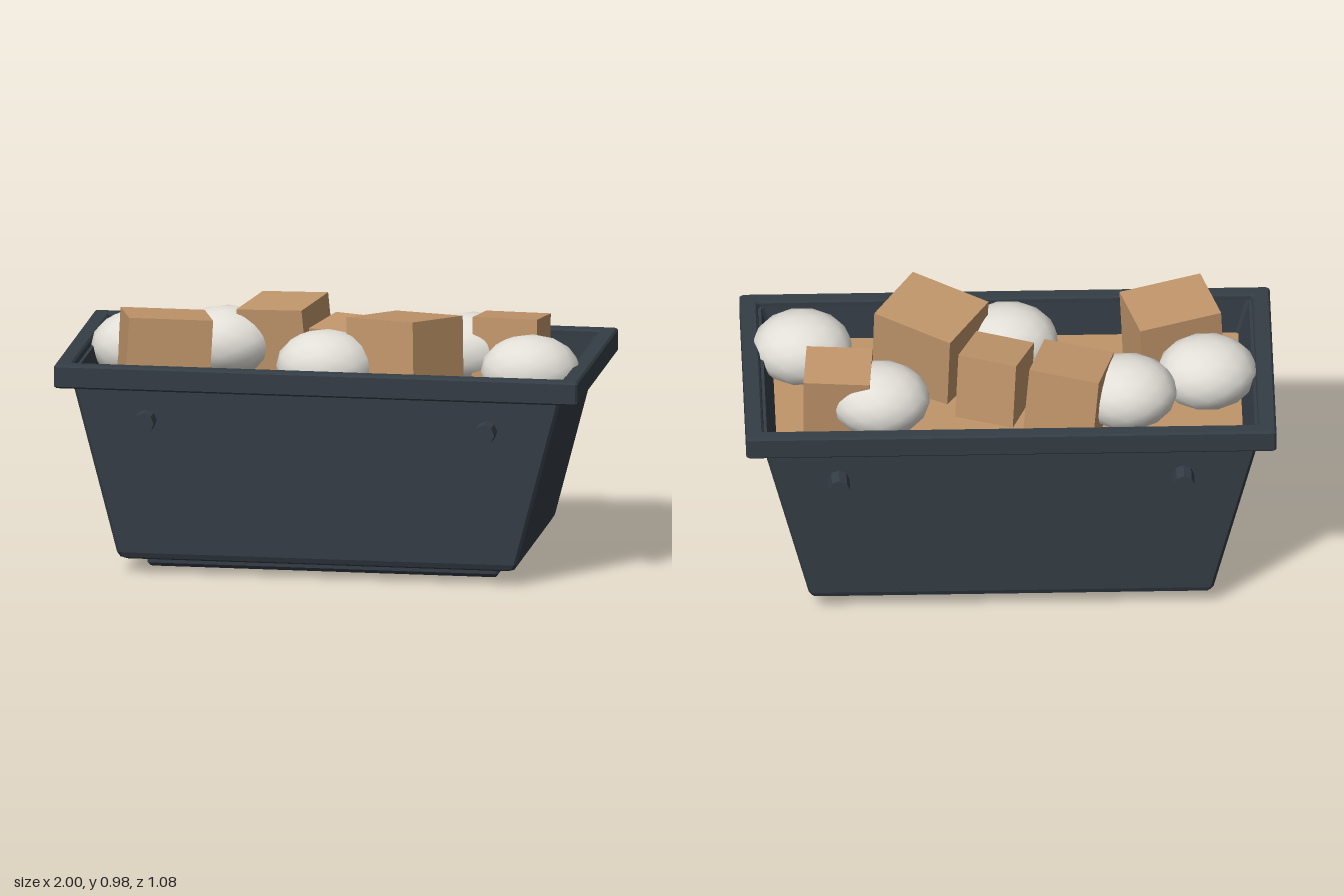
import * as THREE from 'three';
import { mergeVertices } from 'three/addons/utils/BufferGeometryUtils.js';

const binMat = new THREE.MeshStandardMaterial({ color: 0x343d45, flatShading: true });
const cardMat = new THREE.MeshStandardMaterial({ color: 0xc0956a, flatShading: true });
const bagMat = new THREE.MeshStandardMaterial({ color: 0xe2dfd8 });

// Skin over stacked rectangles [halfX, halfZ, y] with slightly clipped corners
function loftRects(rings, clip) {
  const pos = [], idx = [];
  for (const [x, z, y] of rings) {
    const c = Math.min(clip, x, z);
    const corners = [[x, -z + c], [x, z - c], [x - c, z], [-x + c, z],
      [-x, z - c], [-x, -z + c], [-x + c, -z], [x - c, -z]];
    for (const [px, pz] of corners) pos.push(px, y, pz);
  }
  for (let r = 0; r < rings.length - 1; r++) {
    for (let i = 0; i < 8; i++) {
      const a = r * 8 + i, b = r * 8 + (i + 1) % 8;
      idx.push(a, a + 8, b, b, a + 8, b + 8);
    }
  }
  const g = new THREE.BufferGeometry();
  g.setAttribute('position', new THREE.Float32BufferAttribute(pos, 3));
  g.setIndex(idx);
  g.computeVertexNormals();
  return g;
}

export function createModel() {
  const model = new THREE.Group();
  const add = (name, geo, mat, x = 0, y = 0, z = 0, parent = model) => {
    const m = new THREE.Mesh(geo, mat);
    m.name = name;
    m.position.set(x, y, z);
    parent.add(m);
    return m;
  };

  // Tapered body: underside, outer wall, then back down the inner wall
  add('binBody', loftRects([
    [0, 0, 0.057], [0.735, 0.44, 0.057], [0.752, 0.457, 0.065], [0.764, 0.465, 0.085],
    [0.945, 0.465, 0.78], [0.92, 0.44, 0.78], [0.87, 0.43, 0.6],
  ], 0.012), binMat);

  // Rim: closed frame with softened edges
  add('rim', loftRects([
    [0.92, 0.44, 0.715], [0.993, 0.488, 0.715], [1, 0.495, 0.722], [1, 0.495, 0.797],
    [0.993, 0.488, 0.805], [0.942, 0.446, 0.805], [0.935, 0.44, 0.797], [0.92, 0.44, 0.715],
  ], 0.008), binMat);

  // Lifting pins, two on each long side
  const pinGeo = new THREE.CylinderGeometry(0.04, 0.04, 0.12, 8);
  pinGeo.rotateX(Math.PI / 2);
  for (const x of [-0.65, 0.65]) {
    for (const s of [-1, 1]) add('liftingPin', pinGeo, binMat, x, 0.6, s * 0.48);
  }

  // Floor runners with chamfered edges
  const runnerGeo = loftRects([
    [0, 0, 0], [0.66, 0.023, 0], [0.67, 0.035, 0.014],
    [0.67, 0.035, 0.046], [0.66, 0.023, 0.06], [0, 0, 0.06],
  ], 0.01);
  for (const s of [-1, 1]) add('runner', runnerGeo, binMat, 0, 0.003, s * 0.285);

  // Packed cardboard layer
  add('cardboardFill', new THREE.BoxGeometry(1.76, 0.06, 0.86), cardMat, 0, 0.61, 0);

  // Loose boxes: top centre x, y, z, width, depth, turn, rise along x, rise along z
  const boxes = new THREE.Group();
  boxes.name = 'cardboardBoxes';
  model.add(boxes);
  const up = new THREE.Vector3(0, 1, 0);
  for (const [x, y, z, w, d, turn, riseX, riseZ] of [
    [-0.617, 0.948, 0.18, 0.32, 0.26, 0.28, -0.045, 0.07],
    [-0.235, 0.932, -0.185, 0.27, 0.25, -0.26, 0.09, -0.065],
    [0.045, 0.89, -0.03, 0.23, 0.21, -0.36, 0.05, -0.1],
    [0.285, 0.962, 0.148, 0.33, 0.29, -0.55, 0.03, 0.107],
    [0.645, 0.912, -0.163, 0.25, 0.22, -0.08, 0, 0.1],
  ]) {
    const geo = new THREE.BoxGeometry(w, 0.32, d).translate(0, -0.16, 0);
    const b = add('cardboardBox', geo, cardMat, x, y, z, boxes);
    const normal = new THREE.Vector3(-riseX, 1, -riseZ).normalize();
    b.quaternion.setFromUnitVectors(up, normal)
      .multiply(new THREE.Quaternion().setFromAxisAngle(up, turn));
  }

  // Filled bags: flattened, smooth low-poly balls
  let ball = new THREE.IcosahedronGeometry(1, 2);
  ball.deleteAttribute('uv');
  ball.deleteAttribute('normal');
  ball = mergeVertices(ball);
  ball.computeVertexNormals();
  const bags = new THREE.Group();
  bags.name = 'rubbishBags';
  model.add(bags);
  for (const [x, z] of [[-0.75, -0.033], [-0.445, -0.16], [-0.005, 0.203], [0.488, -0.185], [0.772, 0.176]]) {
    add('rubbishBag', ball, bagMat, x, 0.775, z, bags).scale.set(0.19, 0.137, 0.167);
  }
  return model;
}
